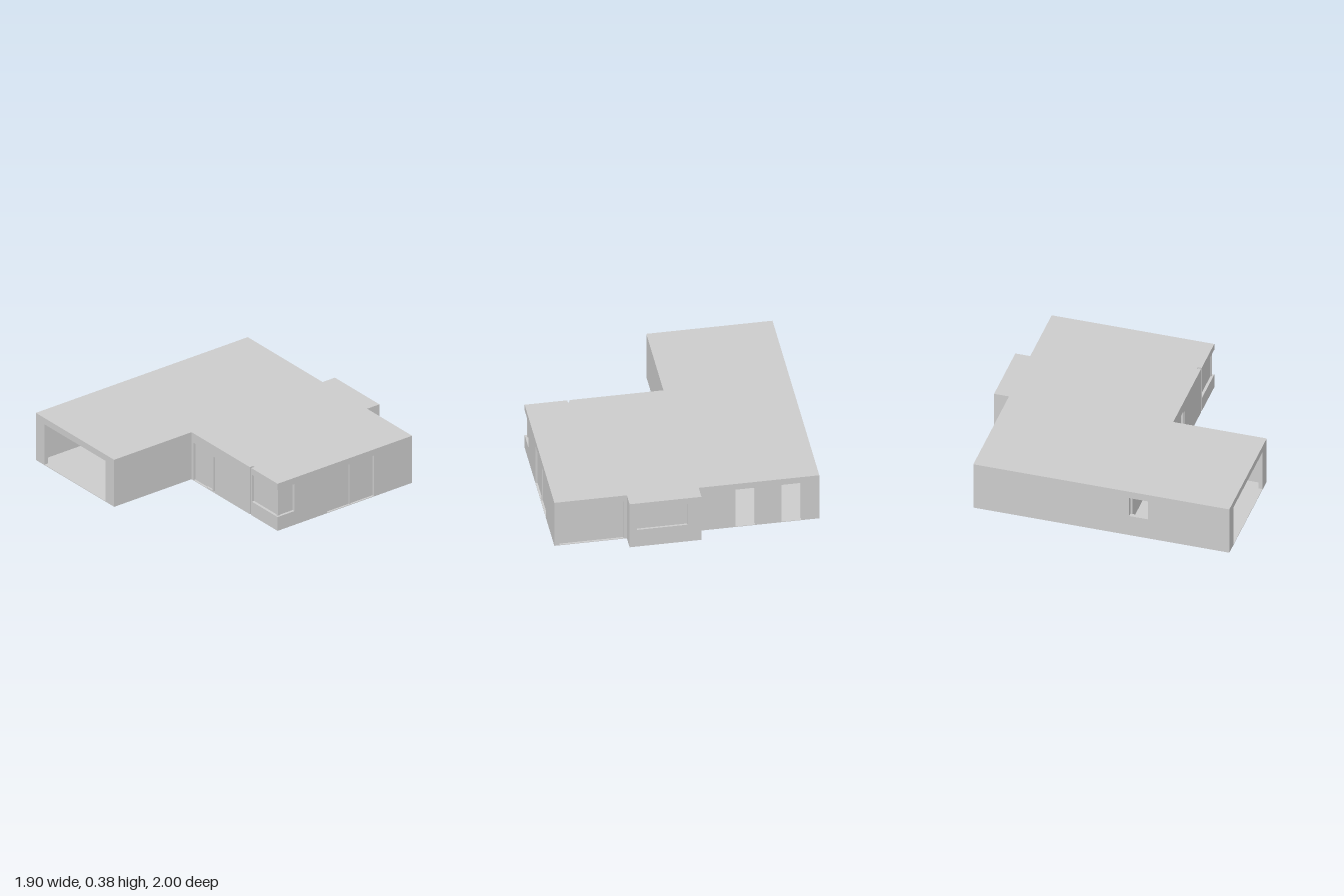
import * as THREE from 'three';

const T = 0.03;      // wall thickness
const WALL = 0.36;   // wall height below the roof slab
const TOP = 0.375;
const mat = new THREE.MeshStandardMaterial({ color: 0xcccccc, flatShading: true });

// Footprint (x, z) with the rear bay, front wing and the narrow facade slot
const PLAN = [
  [-0.95, 1], [-0.95, -0.89], [-0.085, -0.89], [-0.085, -1], [0.43, -1], [0.43, -0.89],
  [0.95, -0.89], [0.95, 0.31], [0.645, 0.31], [0.645, 0.28], [0.63, 0.28], [0.63, 0.31],
  [-0.045, 0.31], [-0.045, 1],
];

// Rotation, world axis the wall runs along, and the sign of that run
const SIDES = {
  front: { rot: 0, axis: 'x', sign: 1 },
  back: { rot: Math.PI, axis: 'x', sign: -1 },
  left: { rot: Math.PI / 2, axis: 'z', sign: -1 },
  right: { rot: -Math.PI / 2, axis: 'z', sign: 1 },
};

export function createModel() {
  const model = new THREE.Group();
  model.name = 'house';

  function add(geometry, name) {
    const mesh = new THREE.Mesh(geometry, mat);
    mesh.name = name;
    model.add(mesh);
    return mesh;
  }

  // Box given by its minimum and maximum corners
  function box(name, x0, x1, y0, y1, z0, z1) {
    const g = new THREE.BoxGeometry(x1 - x0, y1 - y0, z1 - z0);
    return add(g.translate((x0 + x1) / 2, (y0 + y1) / 2, (z0 + z1) / 2), name);
  }

  // Horizontal slab in the shape of the footprint
  function slab(name, y0, y1) {
    const shape = new THREE.Shape(PLAN.map(([x, z]) => new THREE.Vector2(x, z)));
    const g = new THREE.ExtrudeGeometry(shape, { depth: y1 - y0, bevelEnabled: false });
    add(g.rotateX(Math.PI / 2).translate(0, y1, 0), name);
  }

  // Wall whose outer face lies on `plane`, running between two world coordinates.
  // Openings: { a, b, y0, y1, panel: recess depth, bars: mullion count }
  function wall(name, side, plane, from, to, openings = []) {
    const { rot, axis, sign } = SIDES[side];
    const local = (p, q) => [p * sign, q * sign].sort((m, n) => m - n);
    const [u0, u1] = local(from, to);
    const group = new THREE.Group();
    group.name = name;
    group.rotation.y = rot;
    group.position[axis === 'x' ? 'z' : 'x'] = plane;

    const shape = new THREE.Shape();
    shape.moveTo(u0, 0);
    const sorted = openings.map(o => ({ ...o, u: local(o.a, o.b) })).sort((m, n) => m.u[0] - n.u[0]);
    for (const o of sorted) {
      const [a, b] = o.u;
      if (o.y0 === 0) {
        shape.lineTo(a, 0).lineTo(a, o.y1).lineTo(b, o.y1).lineTo(b, 0);
      } else {
        const hole = new THREE.Path();
        hole.moveTo(a, o.y0).lineTo(a, o.y1).lineTo(b, o.y1).lineTo(b, o.y0).closePath();
        shape.holes.push(hole);
      }
    }
    shape.lineTo(u1, 0).lineTo(u1, WALL).lineTo(u0, WALL).closePath();
    const g = new THREE.ExtrudeGeometry(shape, { depth: T, bevelEnabled: false }).translate(0, 0, -T);
    const body = new THREE.Mesh(g, mat);
    body.name = name + 'Body';
    group.add(body);

    // Recessed panes and mullions
    for (const { u: [a, b], y0, y1, panel, bars = 0 } of sorted) {
      if (!panel) continue;
      const h = y1 - y0, y = (y0 + y1) / 2;
      const pane = new THREE.Mesh(new THREE.BoxGeometry(b - a, h, 0.008), mat);
      pane.position.set((a + b) / 2, y, -panel - 0.004);
      pane.name = name + 'Pane';
      group.add(pane);
      for (let i = 1; i <= bars; i++) {
        const bar = new THREE.Mesh(new THREE.BoxGeometry(0.008, h, 0.008), mat);
        bar.position.set(a + (b - a) * i / (bars + 1), y, -panel + 0.004);
        bar.name = name + 'Mullion';
        group.add(bar);
      }
    }
    model.add(group);
  }

  slab('floor', 0, 0.004);
  slab('roof', WALL, TOP);

  // Front wing with its wide open entry
  wall('garageFront', 'front', 1, -0.95, -0.045, [{ a: -0.85, b: -0.145, y0: 0, y1: 0.325 }]);
  wall('garageInnerSide', 'left', -0.045, 0.28, 1 - T);

  // Entrance wall with door and narrow sidelight
  wall('entranceWall', 'front', 0.31, -0.045, 0.63, [
    { a: -0.02, b: 0.195, y0: 0, y1: 0.3, panel: 0.015 },
    { a: 0.207, b: 0.225, y0: 0, y1: 0.285, panel: 0.025 },
  ]);
  box('doorStep', 0.13, 0.195, 0, 0.01, 0.295, 0.308);
  box('slotBack', 0.62, 0.655, 0, WALL, 0.265, 0.28);

  // Corner window: sill and lintel bands wrapping the corner, panes set back
  for (const [name, y0, y1] of [['cornerSill', 0, 0.11], ['cornerLintel', 0.325, WALL]]) {
    box(name, 0.645, 0.95, y0, y1, 0.28, 0.31);
    box(name + 'Side', 0.92, 0.95, y0, y1, 0.16, 0.28);
  }
  box('cornerJamb', 0.645, 0.652, 0.11, 0.325, 0.28, 0.31);
  box('cornerPaneFront', 0.652, 0.93, 0.11, 0.325, 0.282, 0.29);
  box('cornerPaneSide', 0.922, 0.93, 0.11, 0.325, 0.16, 0.282);
  box('cornerPost', 0.92, 0.936, 0.11, 0.325, 0.28, 0.298);

  // Left side with the large sliding window
  wall('leftWall', 'left', 0.95, -0.89 + T, 0.16, [
    { a: -0.55, b: -0.13, y0: 0, y1: 0.325, panel: 0.015, bars: 1 },
  ]);

  // Back walls and bay
  wall('backWallLeft', 'back', -0.89, 0.43 - T, 0.95, [
    { a: 0.455, b: 0.915, y0: 0, y1: 0.325, panel: 0.015 },
  ]);
  wall('bayBack', 'back', -1, -0.085, 0.43, [
    { a: 0.015, b: 0.377, y0: 0.145, y1: 0.325, panel: 0.015 },
  ]);
  wall('bayLeft', 'left', 0.43, -1 + T, -0.89);
  wall('bayRight', 'right', -0.085, -1 + T, -0.89);
  wall('backWallRight', 'back', -0.89, -0.95, -0.085 + T, [
    { a: -0.49, b: -0.35, y0: 0, y1: 0.325 },
    { a: -0.82, b: -0.68, y0: 0, y1: 0.325 },
  ]);

  // Long right side with one small open window
  wall('rightWall', 'right', -0.95, -0.89 + T, 1 - T, [{ a: 0.26, b: 0.4, y0: 0.165, y1: 0.32 }]);

  // Interior partitions
  wall('garageRearPartition', 'front', 0.23, -0.92, -0.045, [{ a: -0.9, b: -0.77, y0: 0, y1: 0.285 }]);
  wall('roomPartition', 'left', -0.57, -0.86, 0.2);
  wall('hallPartition', 'left', -0.045, -0.86, 0.28);

  return model;
}
